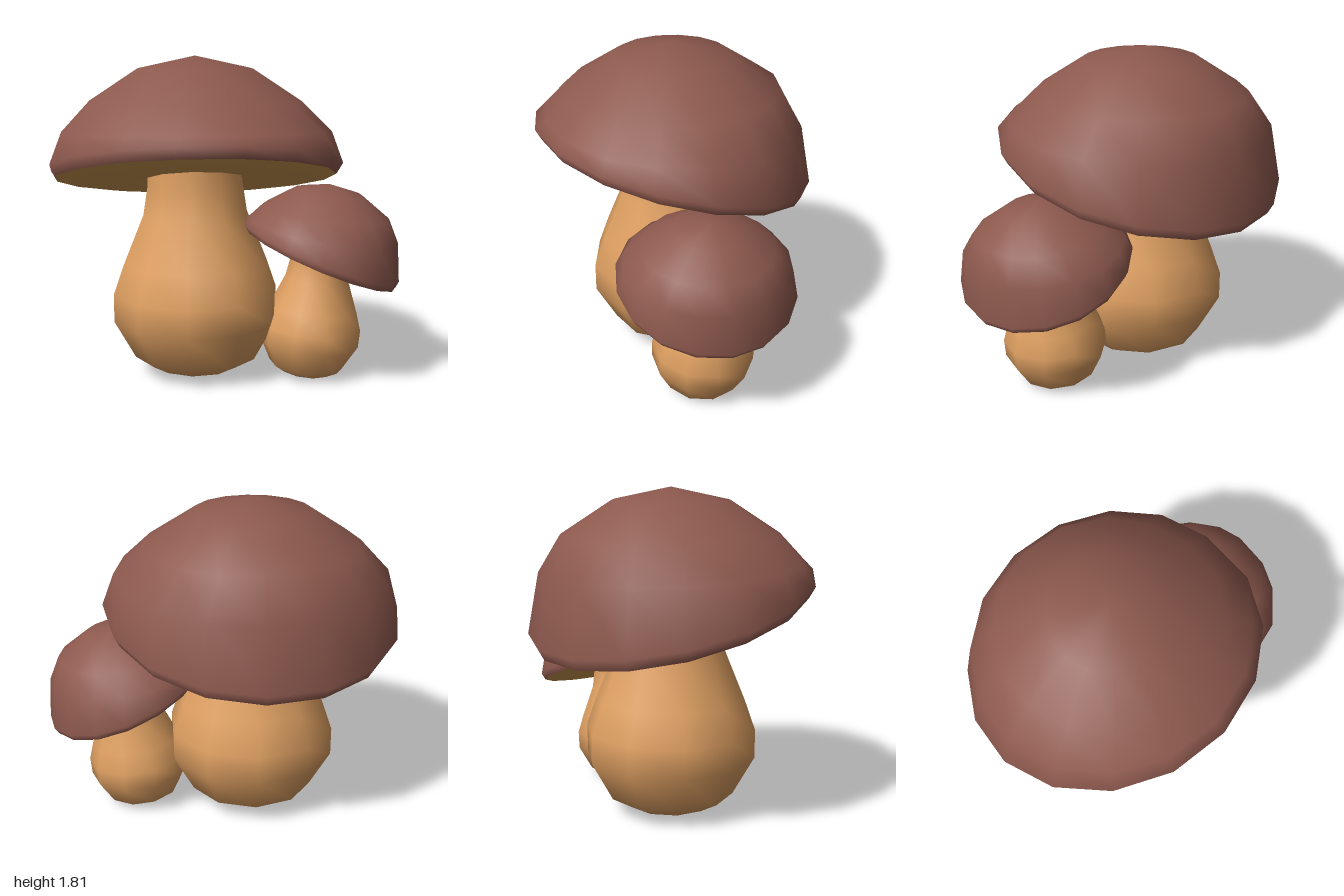
import * as THREE from 'three';
import { mergeVertices } from 'three/addons/utils/BufferGeometryUtils.js';

const material = (name, color) => {
  const m = new THREE.MeshStandardMaterial({ color });
  m.name = name;
  return m;
};

// Lathe whose rings [radius, height, tilt, depthScale] may each lean and flatten
function ringLathe(rings, sides) {
  const points = rings.map(([r, y]) => new THREE.Vector2(r, y));
  let geo = new THREE.LatheGeometry(points, sides);
  const pos = geo.attributes.position;
  for (let i = 0; i < pos.count; i++) {
    const [, , tilt = 0, depth = 1] = rings[i % rings.length];
    const x = pos.getX(i);
    const z = pos.getZ(i) * depth;
    pos.setXYZ(i, x, pos.getY(i) + tilt * (z + 0.15 * x), z);
  }
  geo.deleteAttribute('uv');
  geo.deleteAttribute('normal');
  geo = mergeVertices(geo, 1e-4);
  geo.computeVertexNormals();
  return geo;
}

export function createModel() {
  const capBrown = material('cap brown', 0x8d594e);
  const stemTan = material('stem tan', 0xdfa062);
  const gillTan = material('underside tan', 0xcf9a50);

  // Domed cap: the rim leans up at the front, the crown stays level
  const capGeo = ringLathe([
    [0.79, 1.09, 0.27, 0.935],
    [0.825, 1.15, 0.26, 0.935],
    [0.76, 1.35, 0.06, 0.935],
    [0.595, 1.52, 0, 1],
    [0.32, 1.70, 0, 1],
    [0, 1.77, 0, 1],
  ], 16);

  // Flat underside closing the rim
  const undersideGeo = ringLathe([
    [0, 1.09, 0.27, 0.935],
    [0.4, 1.085, 0.27, 0.935],
    [0.68, 1.075, 0.27, 0.935],
    [0.79, 1.09, 0.27, 0.935],
  ], 16);

  // Bulbous stem with a narrow neck
  const stemGeo = ringLathe([
    [0, 0], [0.24, 0], [0.355, 0.065], [0.475, 0.28], [0.475, 0.44],
    [0.415, 0.61], [0.3, 0.89], [0.275, 1.05], [0.27, 1.2],
  ], 10);

  function mushroom(name) {
    const group = new THREE.Group();
    group.name = name;
    const parts = [
      ['cap', capGeo, capBrown],
      ['capUnderside', undersideGeo, gillTan],
      ['stem', stemGeo, stemTan],
    ];
    for (const [part, geo, mat] of parts) {
      const mesh = new THREE.Mesh(geo, mat);
      mesh.name = part;
      group.add(mesh);
    }
    return group;
  }

  const model = new THREE.Group();
  model.name = 'mushrooms';

  const large = mushroom('largeMushroom');
  large.position.set(-0.175, 0.04, 0);

  // Smaller one, turned sideways and leaning outward
  const small = mushroom('smallMushroom');
  small.scale.set(0.595, 0.617, 0.595);
  small.rotation.set(0, -Math.PI / 2, -0.11, 'ZYX');
  small.position.set(0.455, 0.02, 0.02);

  model.add(large, small);
  return model;
}
